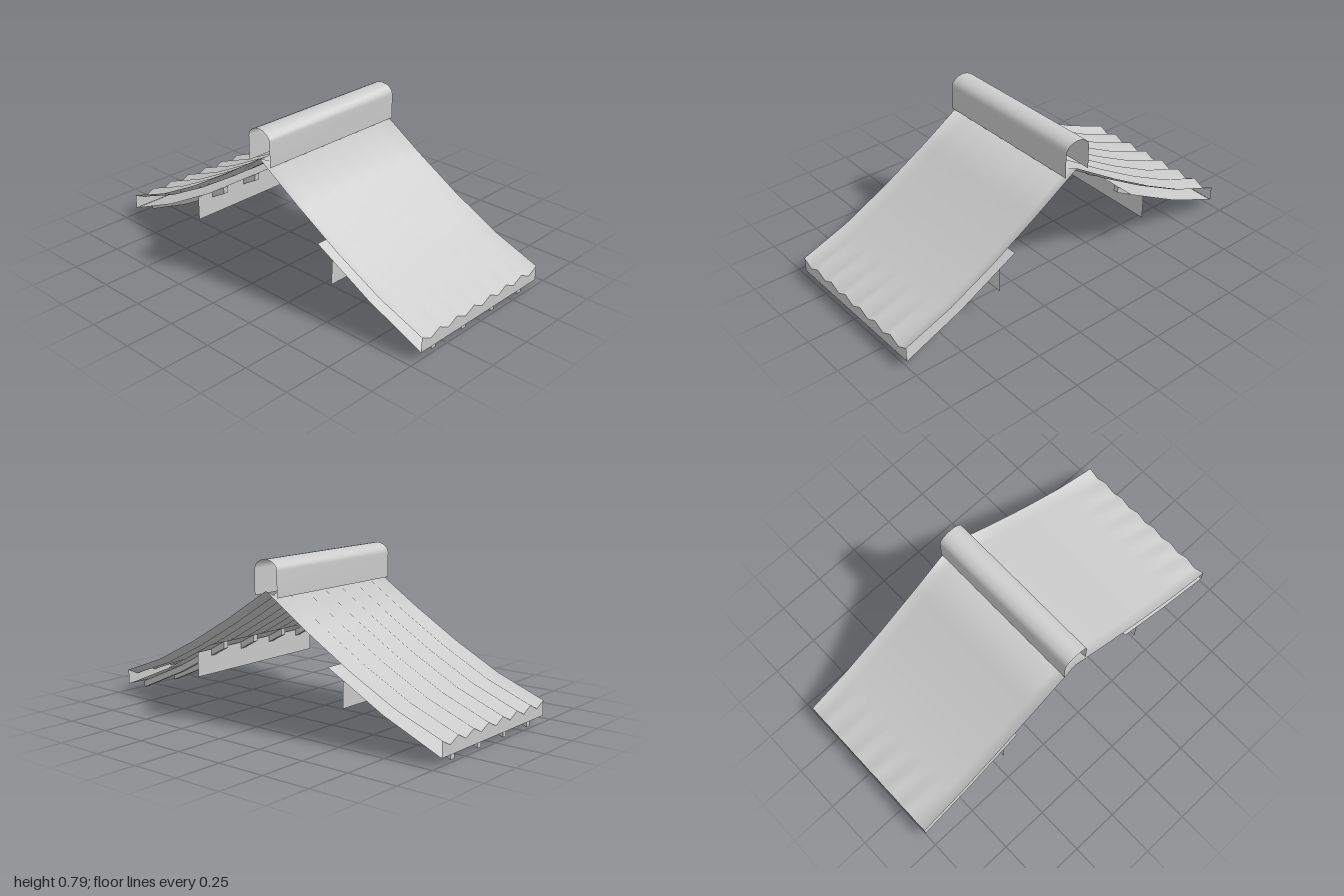
import * as THREE from 'three';

const WIDTH = 0.86, WAVES = 7, AMP = 0.015;

const solid = new THREE.MeshStandardMaterial({ color: 0xcccccc });
const thin = new THREE.MeshStandardMaterial({ color: 0xcccccc, side: THREE.DoubleSide });

function mesh(name, geometry, material) {
  const m = new THREE.Mesh(geometry, material);
  m.name = name;
  return m;
}

// Thin sheet spanning the width; profile lists [z, y] from back to front.
function sheet(profile, columns = 1, ripple = () => 0) {
  const g = new THREE.PlaneGeometry(WIDTH, 1, columns, profile.length - 1);
  const p = g.attributes.position;
  for (let i = 0; i < p.count; i++) {
    const [z, y] = profile[Math.floor(i / (columns + 1))];
    p.setXYZ(i, p.getX(i), y + ripple(i % (columns + 1)), z);
  }
  g.computeVertexNormals();
  return g;
}

// Zigzag: peak on even columns, valley on odd ones.
const zigzag = (column) => (column % 2 ? -AMP : AMP);

// Corrugated roof covering, sagging from ridge to eaves
function roofCovering() {
  const heights = [0.625, 0.465, 0.318, 0.19, 0.095];
  const profile = [];
  for (let i = -4; i <= 4; i++) profile.push([i / 4, heights[Math.abs(i)]]);
  return mesh('roofCovering', sheet(profile, WAVES * 2, zigzag), thin);
}

// Open arch running along the ridge
function ridgeCap() {
  const profile = [[-0.07, 0.613]];
  for (let i = 0; i <= 8; i++) {
    const a = Math.PI * (1 - i / 8);
    profile.push([0.07 * Math.cos(a), 0.74 + 0.05 * Math.sin(a)]);
  }
  profile.push([0.07, 0.613]);
  return mesh('ridgeCap', sheet(profile), thin);
}

// Eave board, its upper edge cut to the corrugation
function fascia() {
  const shape = new THREE.Shape();
  shape.moveTo(-WIDTH / 2, 0.034);
  shape.lineTo(WIDTH / 2, 0.034);
  for (let i = WAVES * 2; i >= 0; i--) {
    shape.lineTo(-WIDTH / 2 + (WIDTH * i) / (WAVES * 2), 0.095 + zigzag(i));
  }
  const m = mesh('fascia', new THREE.ShapeGeometry(shape), thin);
  m.position.z = 0.999;
  return m;
}

// One side's eave underside: soffit, rafters, wall plate and fascia
const RAFTER_TOP = [[0.375, 0.333], [0.69, 0.165], [0.982, 0.036]];

function eave(name) {
  const group = new THREE.Group();
  group.name = name;
  group.add(fascia());

  const soffitProfile = [...RAFTER_TOP.slice(0, 2), [0.998, 0.034]];
  group.add(mesh('soffit', sheet(soffitProfile), thin));

  const plate = mesh('wallPlate', new THREE.PlaneGeometry(WIDTH, 0.127), thin);
  plate.position.set(0, 0.2185, 0.465);
  group.add(plate);

  const outline = [
    ...RAFTER_TOP.map(([z, y]) => new THREE.Vector2(z, y - 0.001)),
    ...RAFTER_TOP.map(([z, y]) => new THREE.Vector2(z, y - 0.036)).reverse(),
  ];
  const thickness = 0.028;
  const rafter = new THREE.ExtrudeGeometry(new THREE.Shape(outline), { depth: thickness, bevelEnabled: false });
  rafter.translate(0, 0, -thickness / 2).rotateY(-Math.PI / 2);
  for (let i = 0; i < 4; i++) {
    const r = mesh('rafter', rafter, solid);
    r.position.x = (i - 1.5) * 0.215;
    group.add(r);
  }
  return group;
}

export function createModel() {
  const model = new THREE.Group();
  model.name = 'gableRoof';
  const front = eave('frontEave');
  const back = eave('backEave');
  back.rotation.y = Math.PI;
  model.add(roofCovering(), ridgeCap(), front, back);
  return model;
}
